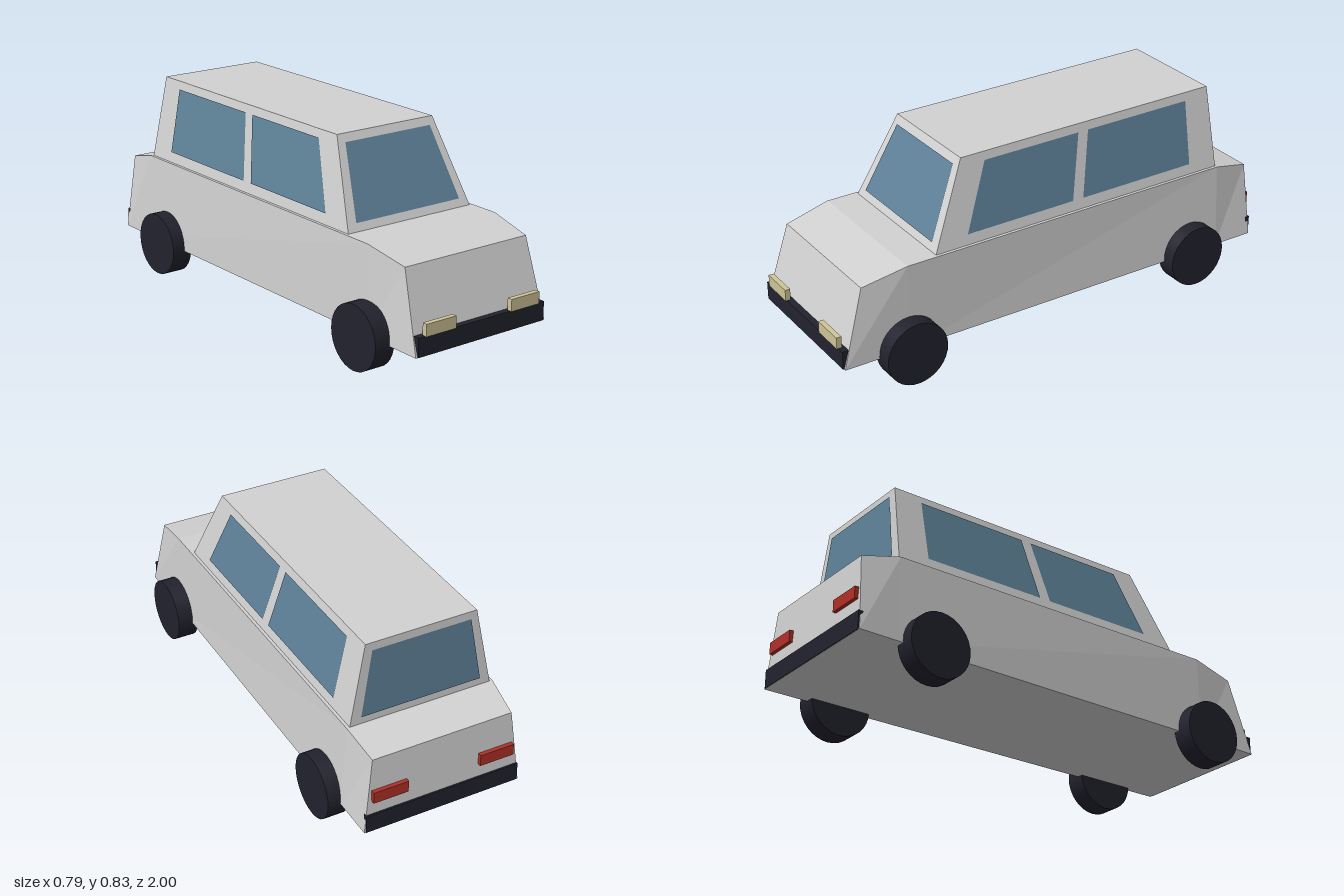
import * as THREE from 'three';

const paint = (name, color, side = THREE.FrontSide) => {
  const m = new THREE.MeshStandardMaterial({ color, side });
  m.name = name;
  return m;
};

// Flat-faced geometry from a list of four-cornered faces
function quads(faces) {
  const points = faces.flatMap(([a, b, c, d]) => [a, b, c, a, c, d]).flat();
  const g = new THREE.BufferGeometry();
  g.setAttribute('position', new THREE.Float32BufferAttribute(points, 3));
  g.computeVertexNormals();
  return g;
}

// Hull through four-cornered cross-sections, front to back.
// Section: [bottom half width, bottom y, bottom z, top half width, top y, top z]
function hull(sections) {
  const rings = sections.map(([bx, by, bz, tx, ty, tz]) =>
    [[-bx, by, bz], [bx, by, bz], [tx, ty, tz], [-tx, ty, tz]]);
  const faces = [rings[0], [...rings[rings.length - 1]].reverse()];
  for (let r = 0; r < rings.length - 1; r++) {
    for (let i = 0; i < 4; i++) {
      const j = (i + 1) % 4;
      faces.push([rings[r][i], rings[r + 1][i], rings[r + 1][j], rings[r][j]]);
    }
  }
  return quads(faces);
}

export function createModel() {
  const group = new THREE.Group();
  const body = paint('body paint', 0xd2d2d2);
  const glass = paint('glass', 0x5f8299, THREE.DoubleSide);
  const rubber = paint('black rubber', 0x22222e);
  const lamp = paint('headlight cream', 0xcfc598);
  const red = paint('tail light red', 0xb03028);

  const add = (name, geometry, material, x = 0, y = 0, z = 0) => {
    const mesh = new THREE.Mesh(geometry, material);
    mesh.name = name;
    mesh.position.set(x, y, z);
    group.add(mesh);
    return mesh;
  };

  // Lower body with sloping bonnet and tail
  add('lowerBody', hull([
    [0.325, 0.125, 0.99, 0.303, 0.448, 0.895],
    [0.328, 0.125, 0.70, 0.32, 0.488, 0.70],
    [0.34, 0.125, -0.81, 0.32, 0.488, -0.81],
    [0.342, 0.125, -0.993, 0.303, 0.448, -0.975],
  ]), body);

  // Tapered cabin
  const sill = 0.488, roof = 0.833;
  add('cabin', hull([
    [0.307, sill, 0.566, 0.239, roof, 0.407],
    [0.307, sill, -0.81, 0.239, roof, -0.797],
  ]), body);
  const up = (y, a, b) => a + (b - a) * (y - sill) / (roof - sill);

  // Windscreen and rear window follow the slope of the cabin ends
  const endWindow = (name, zLow, zHigh, gap) => {
    const corner = (x, y) => [x, y, up(y, zLow, zHigh) + gap];
    add(name, quads([[corner(-0.26, 0.52), corner(0.26, 0.52),
      corner(0.212, 0.802), corner(-0.212, 0.802)]]), glass);
  };
  endWindow('windscreen', 0.566, 0.407, 0.004);
  endWindow('rearWindow', -0.81, -0.797, -0.004);

  for (const side of [1, -1]) {
    const label = side > 0 ? 'left' : 'right';

    // Side windows: z of low front, low rear, high rear, high front corner
    const sideWindow = (name, z) => {
      const corner = (zz, y) => [side * (up(y, 0.307, 0.239) + 0.004), y, zz];
      add(name, quads([[corner(z[0], 0.532), corner(z[1], 0.532),
        corner(z[2], 0.8), corner(z[3], 0.8)]]), glass);
    };
    sideWindow(label + 'FrontWindow', [0.418, -0.08, -0.138, 0.305]);
    sideWindow(label + 'BackWindow', [-0.13, -0.673, -0.678, -0.185]);

    // Wheels
    for (const [end, z] of [['Front', 0.706], ['Back', -0.668]]) {
      const wheel = add(label + end + 'Wheel',
        new THREE.CylinderGeometry(0.134, 0.134, 0.09, 32), rubber, side * 0.348, 0.134, z);
      wheel.rotation.z = Math.PI / 2;
    }

    // Lights
    add(label + 'Headlight', new THREE.BoxGeometry(0.145, 0.05, 0.022), lamp,
      side * 0.2115, 0.228, 0.989);
    add(label + 'TailLight', new THREE.BoxGeometry(0.15, 0.05, 0.02), red,
      side * 0.233, 0.286, -0.99);
  }

  // Bumpers
  add('frontBumper', new THREE.BoxGeometry(0.632, 0.078, 0.028), rubber, 0, 0.165, 0.98);
  add('rearBumper', new THREE.BoxGeometry(0.67, 0.078, 0.02), rubber, 0, 0.165, -0.986);
  return group;
}
